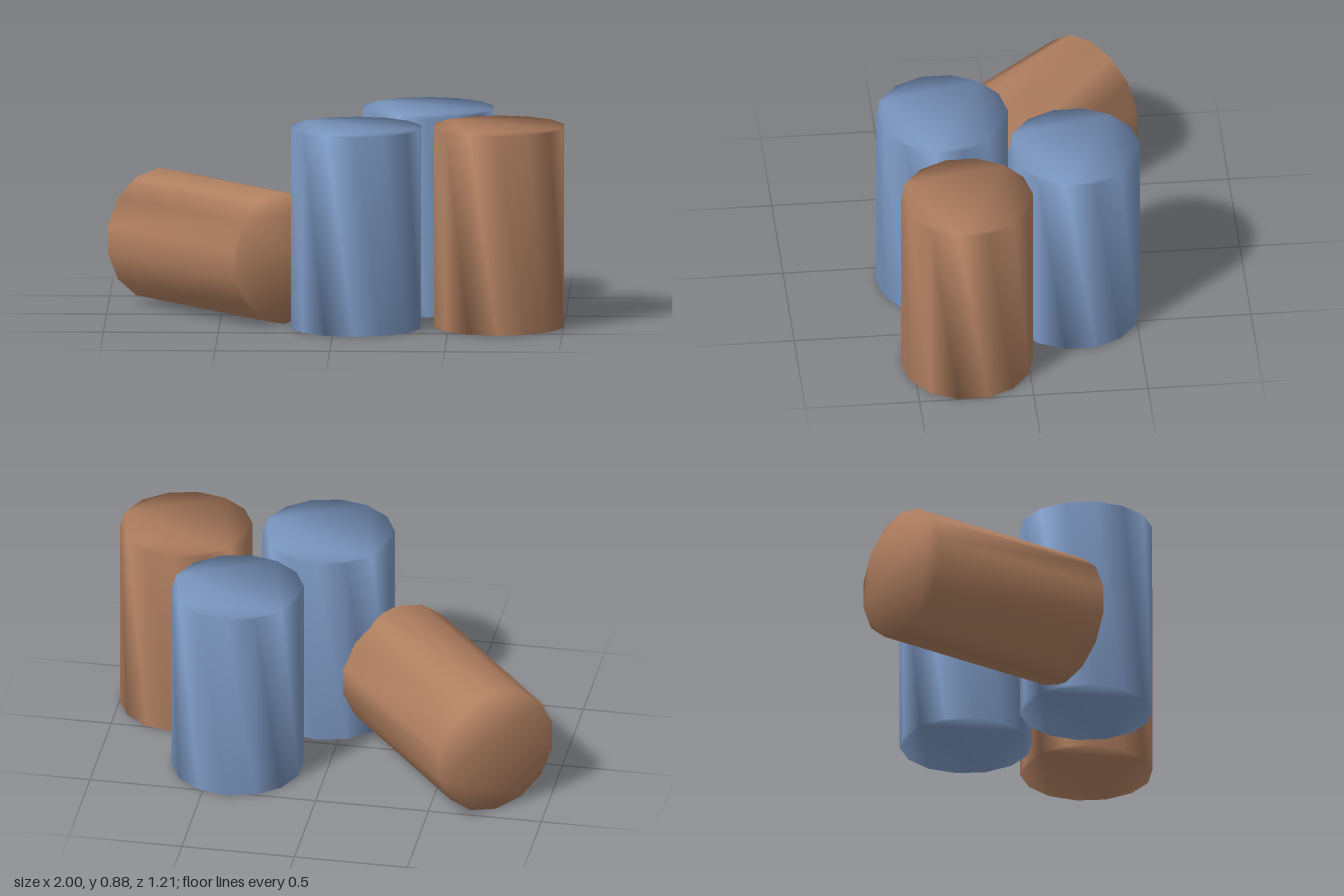
import * as THREE from 'three';
import { mergeVertices } from 'three/addons/utils/BufferGeometryUtils.js';

const RADIUS = 0.289, LENGTH = 0.88, SIDES = 14;

// Fourteen-sided drum along z, one vertex pointing up, normals blended over the rims
function drumGeometry() {
  const points = [];
  for (let i = 0; i < SIDES; i++) {
    const a = Math.PI / 2 + (i / SIDES) * Math.PI * 2;
    points.push(new THREE.Vector2(Math.cos(a) * RADIUS, Math.sin(a) * RADIUS));
  }
  const raw = new THREE.ExtrudeGeometry(new THREE.Shape(points), { depth: LENGTH, bevelEnabled: false });
  raw.translate(0, 0, -LENGTH / 2);
  raw.deleteAttribute('uv');
  raw.deleteAttribute('normal');
  raw.clearGroups();
  const geometry = mergeVertices(raw, 1e-4);
  geometry.computeVertexNormals();
  return geometry;
}

export function createModel() {
  const group = new THREE.Group();
  group.name = 'drums';
  const brown = new THREE.MeshStandardMaterial({ color: 0xb07f60 });
  brown.name = 'rustBrown';
  const blue = new THREE.MeshStandardMaterial({ color: 0x7c98c2 });
  blue.name = 'paintBlue';

  const lying = drumGeometry();
  const upright = lying.clone().rotateX(-Math.PI / 2);

  function addDrum(name, geometry, material, x, y, z, turn = 0) {
    const mesh = new THREE.Mesh(geometry, material);
    mesh.name = name;
    mesh.position.set(x, y, z);
    mesh.rotation.y = turn;
    group.add(mesh);
  }

  // Three standing drums
  addDrum('backBlueDrum', upright, blue, 0.395, LENGTH / 2, -0.236);
  addDrum('frontBlueDrum', upright, blue, 0.095, LENGTH / 2, 0.314);
  addDrum('standingBrownDrum', upright, brown, 0.717, LENGTH / 2, 0.265);

  // One drum tipped on its side
  addDrum('lyingBrownDrum', lying, brown, -0.502, RADIUS, -0.087, 0.697);

  return group;
}
